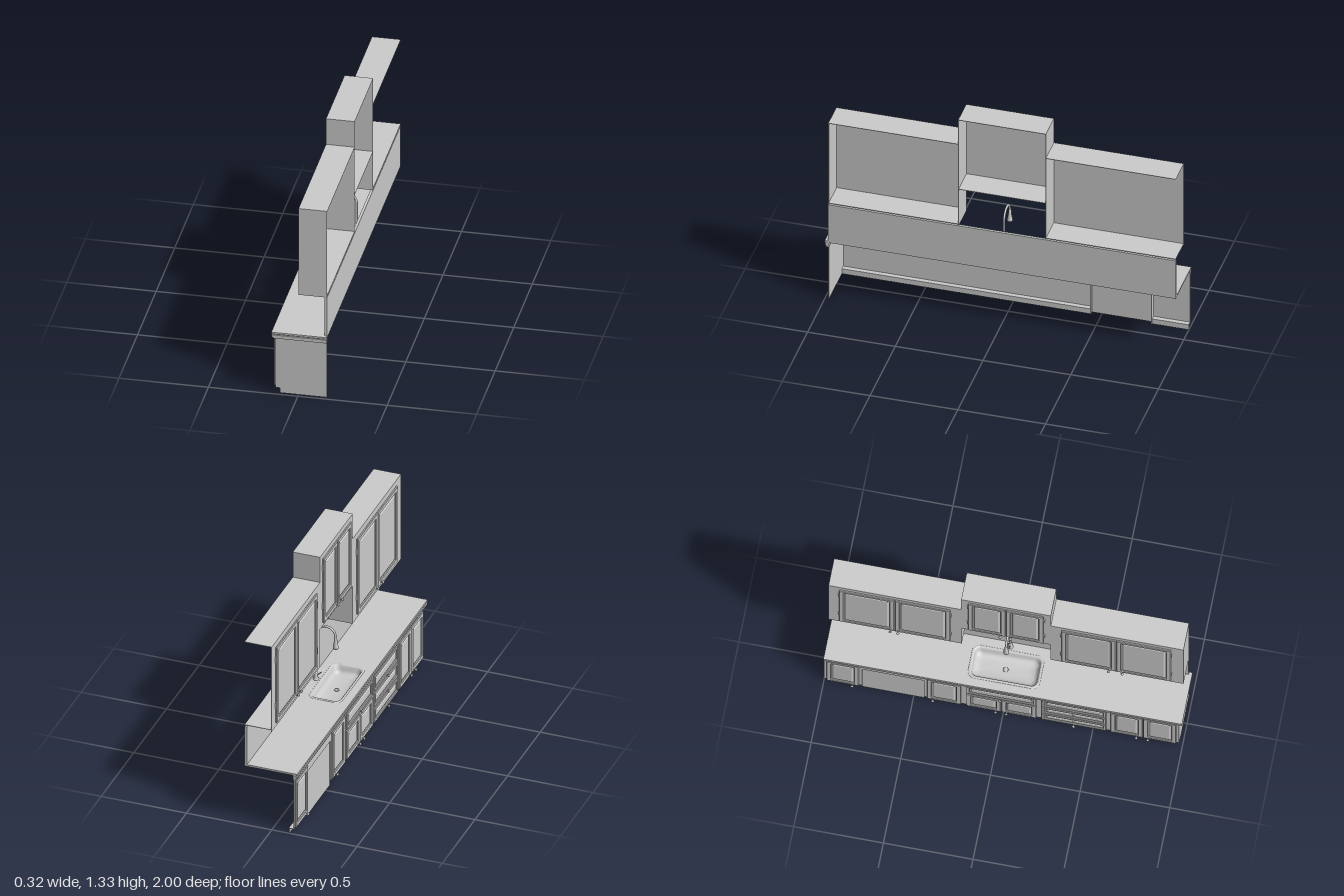
import * as THREE from 'three';

// Working frame: X runs along the kitchen, Y up, Z out of the cabinet fronts.
// The finished group is turned so the fronts face -x.
const T = 0.003;

export function createModel() {
  const root = new THREE.Group();
  const run = new THREE.Group();
  run.name = 'kitchenRun';
  run.rotation.y = -Math.PI / 2;
  root.add(run);
  const mat = new THREE.MeshStandardMaterial({ color: 0xcccccc, side: THREE.DoubleSide });

  function add(name, geo, parent = run) {
    const m = new THREE.Mesh(geo, mat);
    m.name = name;
    parent.add(m);
    return m;
  }
  function box(name, x0, x1, y0, y1, z0, z1, parent) {
    const g = new THREE.BoxGeometry(x1 - x0, y1 - y0, z1 - z0);
    g.translate((x0 + x1) / 2, (y0 + y1) / 2, (z0 + z1) / 2);
    return add(name, g, parent);
  }
  function rect(Type, x0, x1, y0, y1) {
    const s = new Type();
    s.moveTo(x0, y0); s.lineTo(x1, y0); s.lineTo(x1, y1); s.lineTo(x0, y1); s.closePath();
    return s;
  }
  function roundRect(Type, hw, hh, r) {
    const s = new Type();
    s.absarc(hw - r, hh - r, r, 0, Math.PI / 2);
    s.absarc(-hw + r, hh - r, r, Math.PI / 2, Math.PI);
    s.absarc(-hw + r, -hh + r, r, Math.PI, Math.PI * 1.5);
    s.absarc(hw - r, -hh + r, r, Math.PI * 1.5, Math.PI * 2);
    s.closePath();
    return s;
  }

  // Framed front with a bevelled centre panel
  function front(name, x0, x1, y0, y1, z, rail = 0.026) {
    const g = new THREE.Group();
    g.name = name;
    run.add(g);
    const s = rect(THREE.Shape, x0, x1, y0, y1);
    s.holes.push(rect(THREE.Path, x0 + rail, x1 - rail, y0 + rail, y1 - rail));
    const frame = new THREE.ExtrudeGeometry(s, {
      depth: 0.006, bevelEnabled: true, bevelThickness: 0.003, bevelSize: 0.003, bevelOffset: -0.003, bevelSegments: 1,
    });
    frame.translate(0, 0, z + 0.001);
    add('doorFrame', frame, g);
    const inset = rail + 0.014;
    const panel = new THREE.ExtrudeGeometry(rect(THREE.Shape, x0 + inset, x1 - inset, y0 + inset, y1 - inset), {
      depth: 0.001, bevelEnabled: true, bevelThickness: 0.005, bevelSize: 0.009, bevelSegments: 1,
    });
    panel.translate(0, 0, z + 0.002);
    add('raisedPanel', panel, g);
  }

  // Turned knob
  const knobGeo = new THREE.LatheGeometry(
    [[0.006, 0], [0.004, 0.003], [0.003, 0.009], [0.008, 0.012], [0.009, 0.016], [0.006, 0.02], [0, 0.021]]
      .map(p => new THREE.Vector2(...p)), 14);
  knobGeo.rotateX(Math.PI / 2);
  const knob = (x, y, z) => add('knob', knobGeo).position.set(x, y, z);

  // Upper cabinets: open-backed shells, the middle one raised
  const wall = 0.16;
  for (const [a, b, y0, y1, floor] of [[-1, -0.26, 0.625, 1.165, 0.634], [-0.26, 0.24, 0.865, 1.325, 0.865], [0.24, 0.98, 0.625, 1.165, 0.634]]) {
    box('upperFace', a, b, y0, y1, -T, 0);
    box('upperTop', a, b, y1 - T, y1, -wall, 0);
    box('upperBottom', a, b, floor, floor + T, -wall, 0);
  }
  for (const x of [-0.26, 0.24 - T]) box('middleSide', x, x + T, 0.625, 1.325, -wall, 0);
  box('upperEnd', 0.98 - T, 0.98, 0.625, 1.165, -wall, 0);

  for (const [a, b, y0, y1, gap] of [[-0.94, -0.32, 0.65, 1.13, 0.021], [-0.22, 0.2, 0.885, 1.295, 0.028], [0.3, 0.91, 0.65, 1.13, 0.038]]) {
    const mid = (a + b) / 2;
    front('upperDoor', a, mid - 0.002, y0, y1, 0);
    front('upperDoor', mid + 0.002, b, y0, y1, 0);
    for (const s of [-1, 1]) {
      knob(mid + s * gap, y0 + 0.02, 0.01);
      for (const y of [y0 + 0.11, y1 - 0.06 - 0.02 * (y1 < 1.2)]) {
        const x = mid + s * ((b - a) / 2 + 0.004);
        box('hinge', x - 0.003, x + 0.003, y - 0.02, y + 0.02, 0, 0.007);
      }
    }
  }

  // Backsplash
  box('backsplash', -1, 0.98, 0.385, 0.625, -wall, -0.145);

  // Countertop with sink cut-out and stepped edge
  const cx = -0.01, cz = 0.002, hw = 0.2, hd = 0.098;
  const top = rect(THREE.Shape, -1, 1, -0.148, wall);
  const cut = roundRect(THREE.Path, hw - 0.006, hd - 0.006, 0.035).getPoints(6);
  top.holes.push(new THREE.Path(cut.map(p => new THREE.Vector2(p.x + cx, p.y - cz))));
  const slab = new THREE.ExtrudeGeometry(top, { depth: 0.011, bevelEnabled: false });
  slab.rotateX(-Math.PI / 2);
  slab.translate(0, 0.374, 0);
  add('countertop', slab);
  for (const [y0, y1, out] of [[0.368, 0.374, 0.14], [0.356, 0.368, 0.147], [0.345, 0.356, 0.142]]) {
    box('counterFrontEdge', -1, out + 0.852, y0, y1, 0.126, out);
    box('counterEndEdge', 0.975, out + 0.852, y0, y1, -wall, 0.126);
  }

  // Sink basin lofted from rounded rectangles
  const pos = [], idx = [];
  const rings = [[0, 0.385], [0.003, 0.388], [0.01, 0.388], [0.016, 0.382], [0.021, 0.362], [0.028, 0.35], [0.042, 0.343], [0.07, 0.341]];
  let n = 0;
  for (const [inset, y] of rings) {
    const pts = roundRect(THREE.Shape, hw - inset, hd - inset, Math.max(0.04 - inset * 0.4, 0.01)).getPoints(6);
    n = pts.length;
    for (const p of pts) pos.push(p.x + cx, y, cz - p.y);
  }
  for (let i = 0; i < n; i++) pos.push(cx, 0.34, cz);
  for (let r = 0; r < rings.length; r++)
    for (let i = 0; i < n; i++) {
      const a = r * n + i, b = r * n + (i + 1) % n;
      idx.push(a, b, b + n, a, b + n, a + n);
    }
  const basin = new THREE.BufferGeometry();
  basin.setAttribute('position', new THREE.Float32BufferAttribute(pos, 3));
  basin.setIndex(idx);
  basin.computeVertexNormals();
  add('sinkBasin', basin);
  const drain = add('sinkDrain', new THREE.TorusGeometry(0.014, 0.002, 6, 20));
  drain.rotation.x = Math.PI / 2;
  drain.position.set(cx, 0.342, cz);

  // Gooseneck tap
  const tap = new THREE.Group();
  tap.name = 'tap';
  tap.position.set(-0.01, 0.385, -0.12);
  run.add(tap);
  const lathe = (name, pts) => add(name, new THREE.LatheGeometry(pts.map(p => new THREE.Vector2(...p)), 18), tap);
  lathe('tapBase', [[0.017, 0], [0.017, 0.005], [0.012, 0.01], [0.012, 0.04], [0.007, 0.05], [0, 0.05]]);
  const path = new THREE.CurvePath();
  path.add(new THREE.LineCurve3(new THREE.Vector3(0, 0.03, 0), new THREE.Vector3(0, 0.29, 0)));
  const arc = [];
  for (let i = 0; i <= 12; i++) {
    const t = Math.PI * i / 12;
    arc.push(new THREE.Vector3(0, 0.29 + 0.058 * Math.sin(t), 0.058 - 0.058 * Math.cos(t)));
  }
  path.add(new THREE.CatmullRomCurve3(arc));
  add('tapNeck', new THREE.TubeGeometry(path, 60, 0.0065, 10), tap);
  lathe('sprayHead', [[0, 0.22], [0.016, 0.22], [0.016, 0.227], [0.009, 0.265], [0.008, 0.292], [0, 0.292]]).position.z = 0.116;
  const lever = add('tapLever', new THREE.CylinderGeometry(0.003, 0.005, 0.04, 10), tap);
  lever.position.set(0, 0.037, 0.018);
  lever.rotation.x = 0.85;

  // Base cabinets: face, toe kick and ledge, broken by the dishwasher bay
  const f = 0.13, bay0 = -0.79, bay1 = -0.44;
  for (const [a, b] of [[-1, bay0], [bay1, 0.98]]) {
    box('baseFace', a, b, 0.03, 0.347, f - T, f);
    box('toeLedge', a, b, 0.03, 0.03 + T, 0.1, f);
    box('toeKick', a, b, 0, 0.03, 0.1, 0.1 + T);
  }
  const end = new THREE.Shape([[-wall, 0], [0.103, 0], [0.103, 0.03], [f, 0.03], [f, 0.347], [-wall, 0.347]]
    .map(p => new THREE.Vector2(...p)));
  const endGeo = new THREE.ExtrudeGeometry(end, { depth: T, bevelEnabled: false });
  endGeo.rotateY(-Math.PI / 2);
  endGeo.scale(1, 1, 1);
  endGeo.translate(0.98, 0, 0);
  add('baseEnd', endGeo);

  // Dishwasher
  for (const x of [bay0, bay1 - T]) box('baySide', x, x + T, 0, 0.347, 0.095, f);
  box('dishwasherDoor', bay0, bay1, 0.0, 0.28, 0.12, 0.126);
  box('dishwasherControls', bay0, bay1, 0.283, 0.345, 0.122, 0.13);

  // Base doors and drawers
  const lo = 0.035, hi = 0.33, kz = f + 0.008;
  for (const [a, b, k] of [[-0.985, -0.805, -0.84], [-0.425, -0.235, -0.39], [-0.205, -0.012, -0.04], [-0.008, 0.185, 0.02], [0.6, 0.778, 0.745], [0.782, 0.965, 0.81]]) {
    const sink = a > -0.3 && b < 0.3;
    front('baseDoor', a, b, lo, sink ? 0.215 : hi, f);
    knob(k, 0.045, kz);
  }
  front('sinkFalseDrawer', -0.205, 0.185, 0.225, hi, f, 0.018);
  knob(-0.015, 0.24, kz);
  for (const [y0, y1, k] of [[lo, 0.125, 0.045], [0.132, 0.225, 0.14], [0.232, hi, 0.24]]) {
    front('drawer', 0.215, 0.575, y0, y1, f, 0.018);
    knob(0.395, k, kz);
  }
  return root;
}
